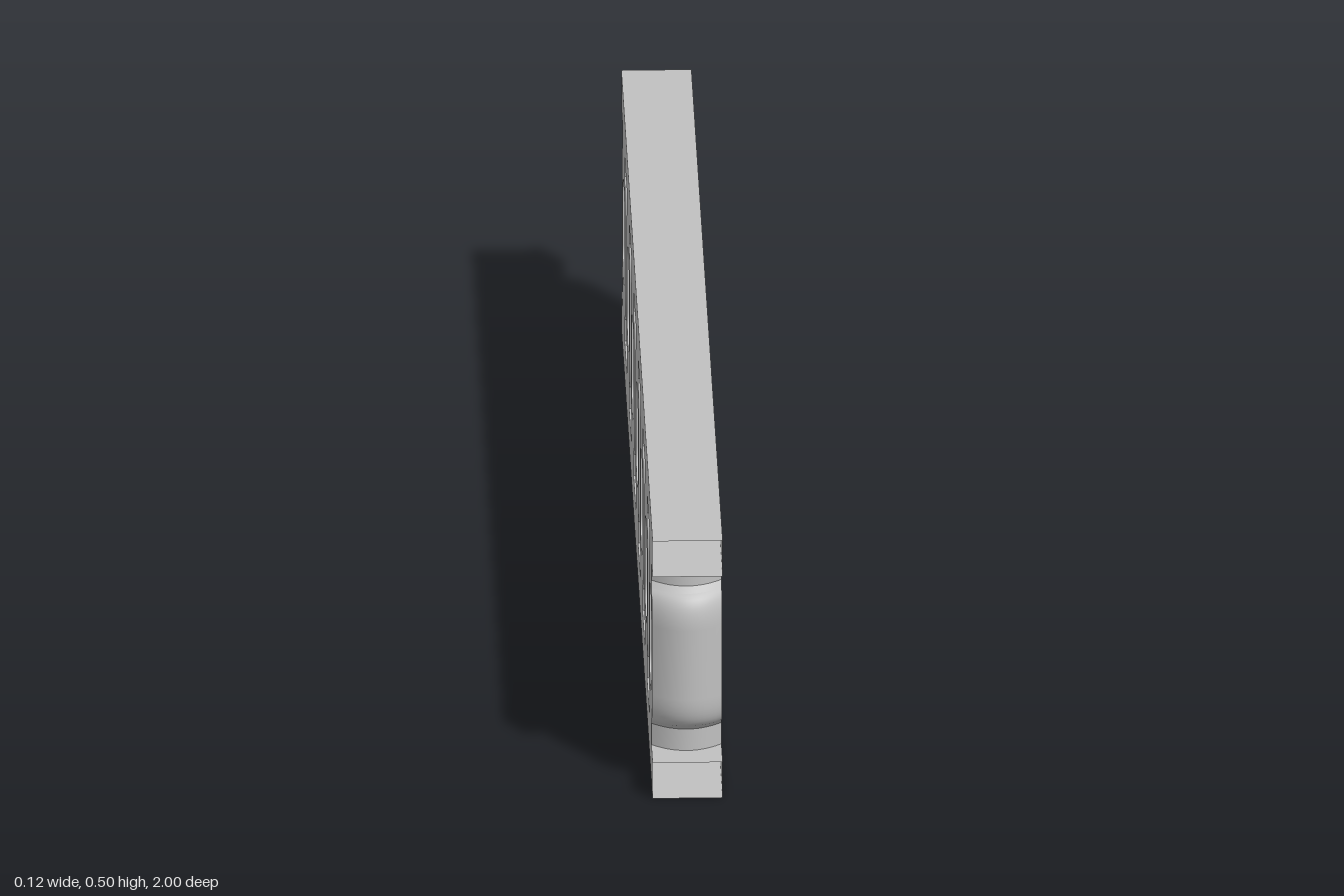
import * as THREE from 'three';

const HEIGHT = 0.505, RAIL = 0.07, HALF = 0.0625, BULGE = 0.027;
const BAYS = 7, PITCH = 2 / BAYS, MID = HEIGHT / 2;

const grey = new THREE.MeshStandardMaterial({ color: 0xc0c0c0, side: THREE.DoubleSide });
grey.name = 'lightGrey';

function add(parent, name, geometry) {
  const mesh = new THREE.Mesh(geometry, grey);
  mesh.name = name;
  parent.add(mesh);
  return mesh;
}

// Sweeps a (z, y) profile across the width, swelling it in z at mid width
function sweep(profile, bulge, steps) {
  const pos = [], index = [], row = steps + 1;
  profile.forEach((p, i) => {
    for (let j = 0; j <= steps; j++) {
      const t = (j / steps) * 2 - 1;
      pos.push(t * HALF, p.y, p.x + bulge * (1 - t * t));
      if (i && j) {
        const d = i * row + j, c = d - 1, b = d - row, a = b - 1;
        index.push(a, b, d, a, d, c);
      }
    }
  });
  const g = new THREE.BufferGeometry();
  g.setAttribute('position', new THREE.Float32BufferAttribute(pos, 3));
  g.setIndex(index);
  g.computeVertexNormals();
  return g;
}

// Half profile of a post, in strips separated by sharp edges
function postStrips() {
  const v = (z, y) => new THREE.Vector2(z, y);
  const flip = (pts) => pts.map((p) => v(p.x, HEIGHT - p.y)).reverse();
  const neck = [v(0.065, RAIL), v(0.065, 0.112)];
  const shoulder = [v(0.065, 0.112), v(0.077, 0.122)];
  const round = new THREE.QuadraticBezierCurve(v(0.077, 0.122), v(0.101, 0.135), v(0.101, 0.185)).getPoints(8);
  return [neck, shoulder, [...round, ...flip(round)], flip(shoulder), flip(neck)];
}

// Rounded oblong window through a post
function windowPath() {
  const w = 0.058, h = 0.096, r = 0.045, path = new THREE.Path();
  path.absarc(w - r, MID + h - r, r, 0, Math.PI / 2);
  path.absarc(r - w, MID + h - r, r, Math.PI / 2, Math.PI);
  path.absarc(r - w, MID - h + r, r, Math.PI, Math.PI * 1.5);
  path.absarc(w - r, MID - h + r, r, Math.PI * 1.5, Math.PI * 2);
  path.closePath();
  return path;
}

function createPost() {
  const post = new THREE.Group();
  post.name = 'post';
  const strips = postStrips();

  // Swelling front and back flanks
  for (const strip of strips) {
    const g = sweep(strip, BULGE, 12);
    add(post, 'frontFlank', g);
    add(post, 'backFlank', g).rotation.y = Math.PI;
  }

  // Flat cheeks with the window cut out
  const edge = strips.flat();
  const mirrored = edge.map((p) => new THREE.Vector2(-p.x, p.y)).reverse();
  const shape = new THREE.Shape([...edge, ...mirrored]);
  const path = windowPath();
  shape.holes.push(path);
  const cheek = new THREE.ShapeGeometry(shape, 10);
  for (const side of [-1, 1]) {
    const mesh = add(post, side > 0 ? 'leftCheek' : 'rightCheek', cheek);
    mesh.rotation.y = side * Math.PI / 2;
    mesh.position.x = side * HALF;
  }

  // Window lining
  add(post, 'windowLining', sweep(path.getPoints(10).reverse(), 0, 1));
  return post;
}

export function createModel() {
  const model = new THREE.Group();
  model.name = 'railing';

  // Hollow rails, open at both ends (the two end faces are dropped)
  for (const [name, y] of [['bottomRail', RAIL / 2], ['topRail', HEIGHT - RAIL / 2]]) {
    const g = new THREE.BoxGeometry(HALF * 2, RAIL, 2);
    g.setIndex(Array.from(g.index.array).slice(0, 24));
    g.clearGroups();
    add(model, name, g).position.y = y;
  }

  // Evenly spaced posts
  const post = createPost();
  for (let i = 0; i < BAYS; i++) {
    const copy = post.clone();
    copy.position.z = (i - (BAYS - 1) / 2) * PITCH;
    model.add(copy);
  }
  return model;
}
